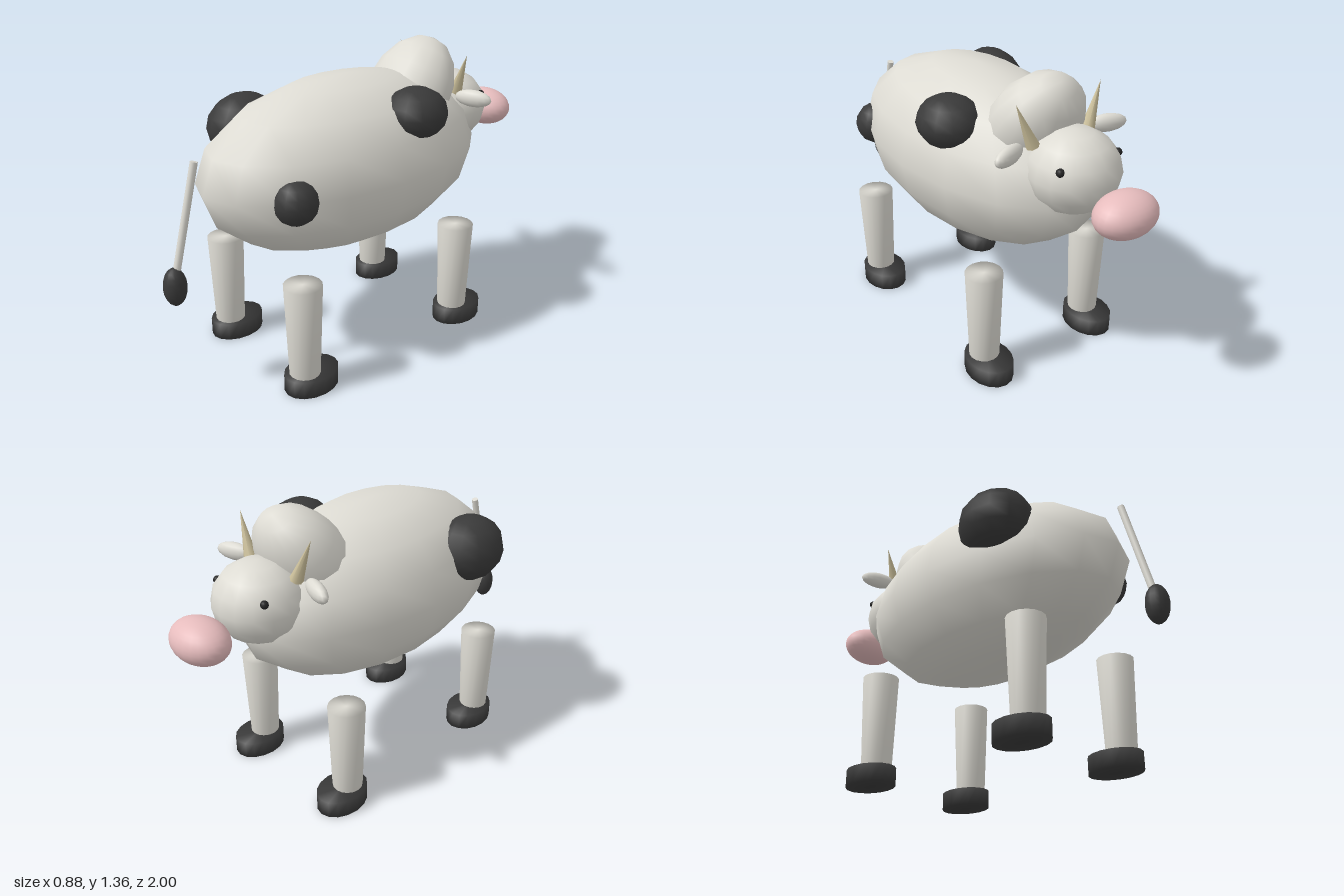
import * as THREE from 'three';
import { mergeVertices } from 'three/addons/utils/BufferGeometryUtils.js';

const material = (name, color) => {
  const m = new THREE.MeshStandardMaterial({ color });
  m.name = name;
  return m;
};

export function createModel() {
  const hide = material('pale hide', 0xdddbd3);
  const dark = material('dark patches and hooves', 0x3a3a3a);
  const pink = material('pink muzzle', 0xe6bcbd);
  const horn = material('horn', 0xcdc19c);
  const eyeDark = material('eye', 0x242424);

  const cow = new THREE.Group();
  cow.name = 'cow';
  const CX = 0.022; // symmetry plane

  const add = (name, geometry, mat, x, y, z) => {
    const mesh = new THREE.Mesh(geometry, mat);
    mesh.name = name;
    mesh.position.set(x, y, z);
    cow.add(mesh);
    return mesh;
  };

  const ellipsoid = (name, mat, pos, radii, w = 16, h = 8) =>
    add(name, new THREE.SphereGeometry(1, w, h).scale(...radii), mat, ...pos);

  // Capped cylinder whose normals run smoothly over the rims
  const softCylinder = (rTop, rBottom, height, sides) => {
    const g = new THREE.CylinderGeometry(rTop, rBottom, height, sides);
    g.deleteAttribute('normal');
    g.deleteAttribute('uv');
    const merged = mergeVertices(g);
    merged.computeVertexNormals();
    return merged;
  };

  // Cylinder or cone running between two points
  const rod = (name, mat, from, to, rFrom, rTo, sides) => {
    const a = new THREE.Vector3(...from), b = new THREE.Vector3(...to);
    const dir = b.clone().sub(a);
    const mid = a.clone().add(b).multiplyScalar(0.5);
    const mesh = add(name, new THREE.CylinderGeometry(rTo, rFrom, dir.length(), sides), mat, mid.x, mid.y, mid.z);
    mesh.quaternion.setFromUnitVectors(new THREE.Vector3(0, 1, 0), dir.normalize());
    return mesh;
  };

  // Body, neck and head
  ellipsoid('body', hide, [CX, 0.875, 0.055], [0.41, 0.39, 0.74]);
  ellipsoid('neck', hide, [CX, 1.1, -0.335], [0.22, 0.29, 0.18]).rotation.x = -0.6;
  ellipsoid('head', hide, [CX, 0.997, -0.59], [0.2, 0.18, 0.2]);
  ellipsoid('muzzle', pink, [CX, 0.93, -0.89], [0.145, 0.092, 0.11], 24, 16);

  // Coat patches
  ellipsoid('shoulderPatch', dark, [0.295, 1.113, -0.12], [0.14, 0.115, 0.15], 12, 8);
  ellipsoid('flankPatch', dark, [0.285, 0.873, 0.525], [0.1, 0.1, 0.1], 12, 8);
  ellipsoid('rumpPatch', dark, [-0.29, 1.015, 0.378], [0.152, 0.152, 0.18], 12, 8);

  // Mirrored parts
  for (const [side, s] of [['left', 1], ['right', -1]]) {
    ellipsoid(side + 'Eye', eyeDark, [CX + s * 0.152, 1.065, -0.682], [0.018, 0.018, 0.018], 12, 8);

    const ear = ellipsoid(side + 'Ear', hide, [CX + s * 0.26, 1.1, -0.505], [0.09, 0.04, 0.032]);
    ear.rotation.y = s * 0.33;

    rod(side + 'Horn', horn, [CX + s * 0.145, 1.11, -0.51], [CX + s * 0.22, 1.297, -0.492], 0.03, 0, 8);

    for (const [end, z] of [['Front', -0.39], ['Back', 0.525]]) {
      const x = CX + s * 0.297;
      add(side + end + 'Leg', softCylinder(0.084, 0.068, 0.455, 16), hide, x, 0.2825, z);
      add(side + end + 'Hoof', softCylinder(0.098, 0.098, 0.08, 16), dark, x, 0.04, z - 0.035).scale.z = 1.32;
    }
  }

  // Tail with tuft
  rod('tail', hide, [CX, 1.04, 0.82], [CX, 0.55, 0.948], 0.016, 0.016, 10);
  ellipsoid('tailTuft', dark, [CX, 0.527, 0.95], [0.05, 0.085, 0.05], 16, 10);

  return cow;
}
